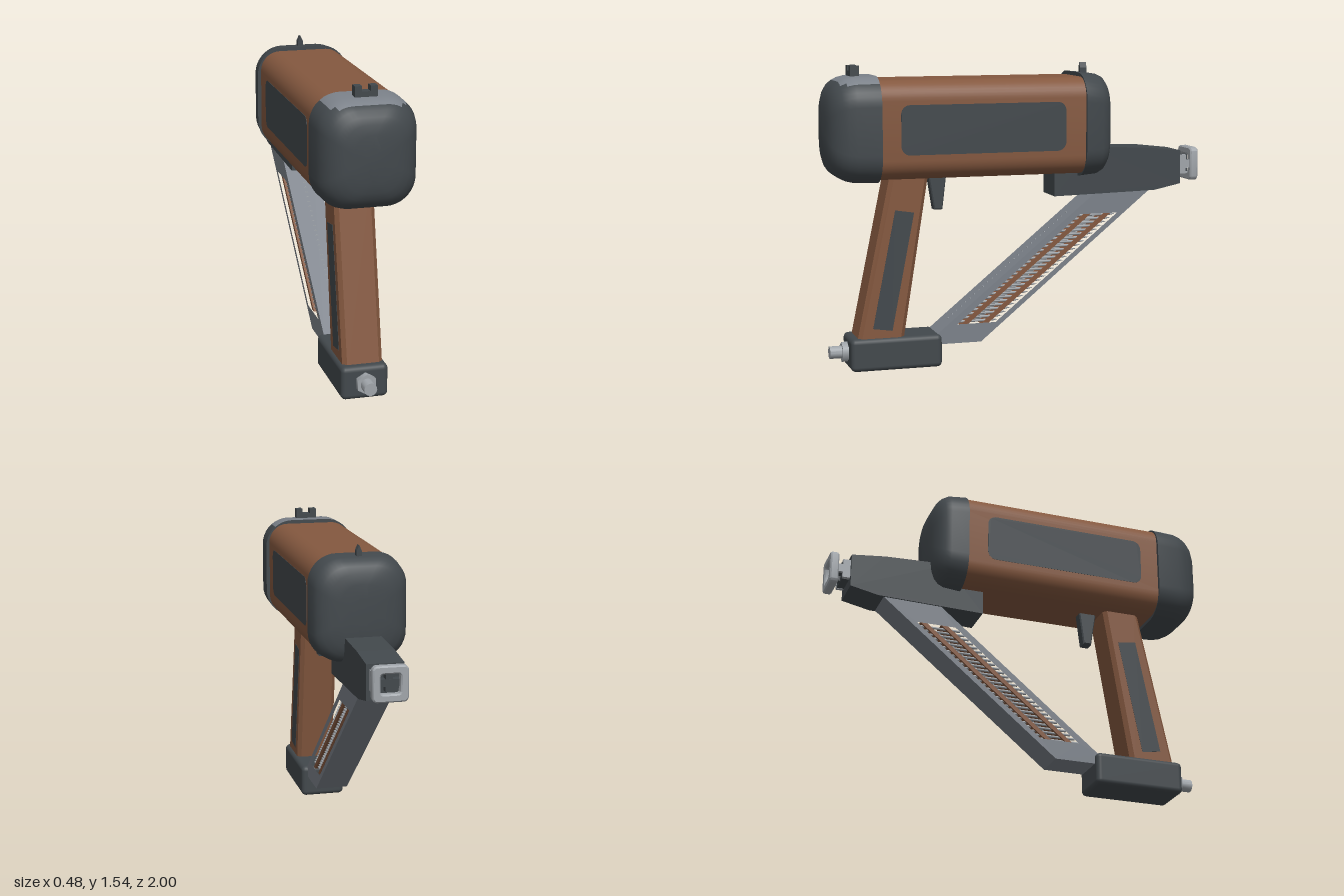
import * as THREE from 'three';
import { mergeGeometries, toCreasedNormals } from 'three/addons/utils/BufferGeometryUtils.js';
import { RoundedBoxGeometry } from 'three/addons/geometries/RoundedBoxGeometry.js';

const mat = (name, color) => Object.assign(new THREE.MeshStandardMaterial({ color }), { name });

// rounded rectangle outline, counter-clockwise, 40 points
function ring(hw, hh, r) {
  const pts = [];
  for (let q = 0; q < 4; q++) {
    const sx = q === 0 || q === 3 ? 1 : -1, sy = q < 2 ? 1 : -1;
    for (let i = 0; i < 10; i++) {
      const a = (q + i / 9) * Math.PI / 2;
      pts.push([sx * (hw - r) + r * Math.cos(a), sy * (hh - r) + r * Math.sin(a)]);
    }
  }
  return pts;
}

// loft of rounded rectangles along z; profile = [z, inset], z ascending.
// Quads whose middle passes isSecond(y, z) go to the second material.
function loft(hw, hh, r, cy, profile, isSecond = () => false) {
  const rings = profile.map(([z, d]) =>
    ring(hw - d, hh - d, Math.max(r - d * 0.4, 0.02)).map(([x, y]) => [x, y + cy, z]));
  const first = [], second = [];
  const n = rings[0].length;
  const a0 = [0, cy, profile[0][0]], a1 = [0, cy, profile.at(-1)[0]];
  for (let j = 0; j < n; j++) {
    const k = (j + 1) % n;
    for (let i = 0; i < rings.length - 1; i++) {
      const R = rings[i], S = rings[i + 1];
      const list = isSecond((R[j][1] + S[k][1]) / 2, (R[j][2] + S[k][2]) / 2) ? second : first;
      list.push(...R[j], ...R[k], ...S[k], ...R[j], ...S[k], ...S[j]);
    }
    first.push(...a0, ...rings[0][k], ...rings[0][j]);
    first.push(...a1, ...rings.at(-1)[j], ...rings.at(-1)[k]);
  }
  const g = new THREE.BufferGeometry();
  g.setAttribute('position', new THREE.Float32BufferAttribute([...first, ...second], 3));
  g.addGroup(0, first.length / 3, 0);
  if (second.length) g.addGroup(first.length / 3, second.length / 3, 1);
  return toCreasedNormals(g, 0.6);
}

const points = pts => pts.map(p => new THREE.Vector2(...p));
const shapeOf = pts => new THREE.Shape(points(pts));
const roundedPoints = (hw, hh, r, cx, cy) => ring(hw, hh, r).map(([x, y]) => [x + cx, y + cy]);

// extrude a (z, y) outline across x, centred on cx
function sideways(shape, width, cx = 0, bevel = 0) {
  const g = new THREE.ExtrudeGeometry(shape, {
    depth: width - 2 * bevel, bevelEnabled: bevel > 0, bevelSize: bevel, bevelThickness: bevel,
    bevelOffset: -bevel, bevelSegments: 1,
  });
  return g.translate(0, 0, -(width - 2 * bevel) / 2).rotateY(-Math.PI / 2).translate(cx, 0, 0);
}

const box = (w, h, d, x, y, z) => new THREE.BoxGeometry(w, h, d).translate(x, y, z);
// cylinder along z; r0 is the front radius, r1 the back radius
const rod = (r0, r1, len, sides, x, y, z) =>
  new THREE.CylinderGeometry(r0, r1, len, sides).rotateX(Math.PI / 2).translate(x, y, z);

export function createModel() {
  const model = new THREE.Group();
  model.name = 'nailTool';
  const dark = mat('darkRubber', 0x42484c);
  const brown = mat('brownShell', 0x84583f);
  const grey = mat('greyMetal', 0x7b8189);
  const silver = mat('silverMetal', 0xa0a5aa);
  const add = (name, geo, material) => {
    const m = new THREE.Mesh(geo, material);
    m.name = name;
    model.add(m);
  };

  // main housing and end caps
  add('housing', loft(0.224, 0.248, 0.1, 1.228, [[-0.36, 0], [0.78, 0]]), brown);
  add('frontCap', loft(0.242, 0.266, 0.145, 1.229,
    [[0.74, 0], [0.86, 0.003], [0.9, 0.012], [0.93, 0.026], [0.955, 0.045], [0.975, 0.072],
      [0.988, 0.105], [0.995, 0.15], [1, 0.21]],
    (y, z) => y > 1.455 && z < 0.93), [dark, grey]);
  add('rearCap', loft(0.242, 0.266, 0.145, 1.229,
    [[-0.485, 0.2], [-0.483, 0.13], [-0.475, 0.08], [-0.46, 0.045], [-0.44, 0.022],
      [-0.41, 0.008], [-0.32, 0]]), dark);

  // inlaid panels on both sides of housing and handle
  const panel = shapeOf(roundedPoints(0.428, 0.124, 0.045, 0.215, 1.232));
  const gripPanel = shapeOf([[0.77, 0.22], [0.67, 0.205], [0.553, 0.805], [0.65, 0.82]]);
  for (const s of [1, -1]) {
    add('housingPanel', sideways(panel, 0.008, s * 0.2215), dark);
    add('handlePanel', sideways(gripPanel, 0.008, s * 0.0975), dark);
  }

  // sights
  add('frontSight', mergeGeometries([
    box(0.11, 0.04, 0.045, 0, 1.498, 0.838),
    box(0.034, 0.06, 0.045, 0.038, 1.514, 0.838),
    box(0.034, 0.06, 0.045, -0.038, 1.514, 0.838),
  ]), dark);
  add('rearSight', new THREE.ExtrudeGeometry(
    shapeOf([[-0.013, 1.48], [0.013, 1.48], [0.013, 1.515], [0, 1.543], [-0.013, 1.515]]),
    { depth: 0.036, bevelEnabled: false }).translate(0, 0, -0.395), dark);

  // handle, trigger and foot
  add('handle', sideways(
    shapeOf([[0.853, 0.13], [0.612, 0.13], [0.47, 1.02], [0.667, 1.02]]), 0.2, 0, 0.02), brown);
  add('trigger', sideways(
    shapeOf([[0.43, 0.805], [0.386, 0.805], [0.363, 1.0], [0.462, 1.0]]), 0.06, 0, 0.006), dark);
  add('foot', new RoundedBoxGeometry(0.234, 0.168, 0.472, 3, 0.025).translate(0, 0.087, 0.648), dark);
  add('hoseNut', rod(0.052, 0.052, 0.04, 6, 0, 0.09, 0.895), silver);
  add('hoseFitting', toCreasedNormals(rod(0.032, 0.032, 0.08, 20, 0, 0.09, 0.937), 0.6), silver);

  // sloping magazine with an open window
  const topZ = y => 0.435 - (y - 0.165) * 1.2214;
  const band = (o0, o1, y0, y1) =>
    [[topZ(y0) - o0, y0], [topZ(y0) - o1, y0], [topZ(y1) - o1, y1], [topZ(y1) - o0, y1]];
  const frame = shapeOf([[0.44, 0.162], [0.42, 0.115], [0.2, 0.115], [-0.735, 0.882], [-0.44, 0.882]]);
  frame.holes.push(new THREE.Path(points(band(0.05, 0.255, 0.213, 0.757))));
  add('magazine', sideways(frame, 0.17), grey);

  // rows of pointed nails, the middle row with heads just breaking the top face
  const nails = [];
  for (let i = 0; i < 28; i++) {
    const y = 0.222 + i * 0.0195, z = topZ(y);
    for (const x of [-0.06, 0, 0.06]) {
      nails.push(rod(0.0065, 0.0065, 0.2, 8, x, y, z - 0.13));
      nails.push(rod(0.0065, 0.001, 0.03, 8, x, y, z - 0.245));
    }
    nails.push(rod(0.013, 0.013, 0.008, 10, 0, y, z - 0.013));
  }
  add('nails', mergeGeometries(nails), silver);

  // collation strips filling the window's depth
  for (const o of [0.08, 0.19])
    add('nailStrip', sideways(shapeOf(band(o, o + 0.034, 0.205, 0.765)), 0.15), brown);

  // nose block
  add('nose', sideways(shapeOf([[-0.195, 0.857], [-0.195, 1.0], [-0.4, 1.1], [-0.48, 1.105],
    [-0.72, 1.095], [-0.895, 1.075], [-0.895, 0.9], [-0.75, 0.87]]), 0.184), dark);

  // contact tip: dark core with a cross, side arms and a square ring
  add('tipCore', mergeGeometries([
    box(0.11, 0.1, 0.045, 0, 1.0, -0.91),
    box(0.11, 0.035, 0.085, 0, 1.0, -0.93),
    box(0.035, 0.09, 0.04, 0, 1.0, -0.95),
  ]), dark);
  for (const s of [1, -1])
    add('tipArm', mergeGeometries([
      box(0.018, 0.1, 0.04, s * 0.068, 1.0, -0.914),
      box(0.018, 0.042, 0.09, s * 0.068, 1.0, -0.925),
    ]), silver);
  const tip = shapeOf(roundedPoints(0.087, 0.087, 0.025, 0, 1.0));
  tip.holes.push(new THREE.Path(points(roundedPoints(0.048, 0.048, 0.014, 0, 1.0))));
  add('tipRing', toCreasedNormals(new THREE.ExtrudeGeometry(tip, {
    depth: 0.03, bevelSize: 0.007, bevelThickness: 0.007, bevelOffset: -0.007, bevelSegments: 1,
  }).translate(0, 0, -0.993), 0.5), silver);

  return model;
}
